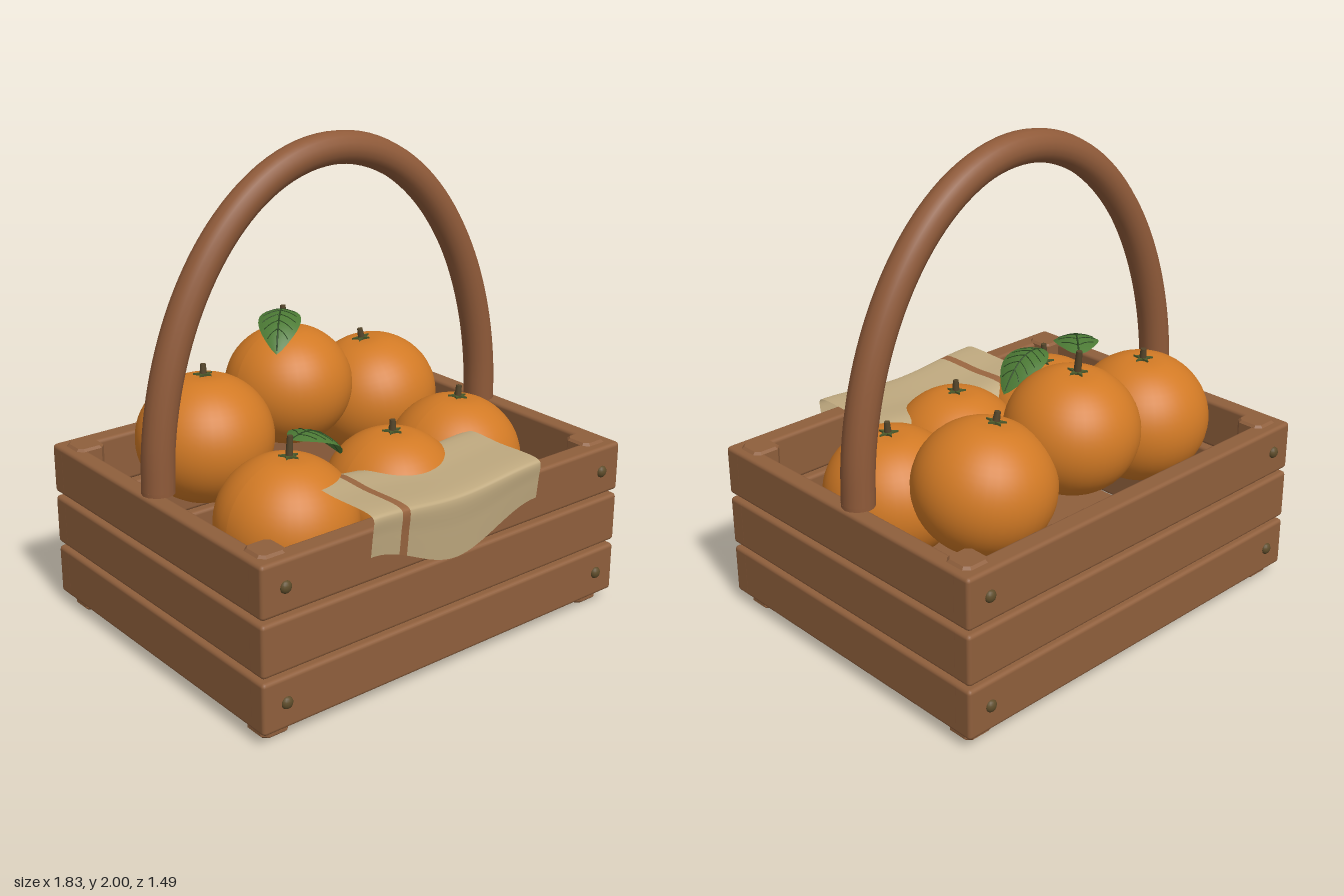
import * as THREE from 'three';
import { RoundedBoxGeometry } from 'three/addons/geometries/RoundedBoxGeometry.js';

const paint = (name, color, side = THREE.FrontSide) => {
  const m = new THREE.MeshStandardMaterial({ color, side });
  m.name = name;
  return m;
};
const V = (x, y, z) => new THREE.Vector3(x, y, z);

// Surface from a rule: fn(u, v) gives a point, u and v run 0..1
function sheet(fn, nu, nv) {
  const g = new THREE.PlaneGeometry(1, 1, nu, nv);
  const p = g.attributes.position;
  for (let i = 0; i < p.count; i++) {
    const q = fn(p.getX(i) + 0.5, p.getY(i) + 0.5);
    p.setXYZ(i, q.x, q.y, q.z);
  }
  g.computeVertexNormals();
  return g;
}

// Sphere with slightly flattened body and dimpled poles
function orangeGeometry(r) {
  const g = new THREE.SphereGeometry(1, 40, 28);
  const p = g.attributes.position;
  for (let i = 0; i < p.count; i++) {
    const x = p.getX(i), y = p.getY(i), z = p.getZ(i);
    const dent = 0.05 * Math.exp(-(x * x + z * z) / 0.05);
    p.setY(i, y * (0.945 - dent));
  }
  g.scale(r, r, r);
  g.computeVertexNormals();
  return g;
}

function starGeometry(outer, inner) {
  const s = new THREE.Shape();
  for (let i = 0; i < 10; i++) {
    const r = i % 2 ? inner : outer, a = i * Math.PI / 5;
    s[i ? 'lineTo' : 'moveTo'](r * Math.cos(a), r * Math.sin(a));
  }
  s.closePath();
  return new THREE.ExtrudeGeometry(s, { depth: 0.008, bevelEnabled: false }).rotateX(-Math.PI / 2);
}

export function createModel() {
  const root = new THREE.Group();
  root.name = 'fruitBasket';
  const wood = paint('wood', 0x8f5f3c);
  const handleWood = paint('handle wood', 0x8f5a39);
  const metal = paint('bolt metal', 0x5e4c2a);
  const peel = paint('orange peel', 0xd27a25);
  const stemMat = paint('stem', 0x54452a);
  const calyxMat = paint('calyx', 0x4c5a2c);
  const leafMat = paint('leaf green', 0x4c7a35, THREE.DoubleSide);
  const veinMat = paint('leaf vein', 0x2c4a22);
  const linen = paint('linen', 0xbfa97f, THREE.DoubleSide);
  const stripe = paint('linen stripe', 0x9a6640, THREE.DoubleSide);

  const add = (parent, name, geo, mat, x = 0, y = 0, z = 0) => {
    const m = new THREE.Mesh(geo, mat);
    m.name = name;
    m.position.set(x, y, z);
    parent.add(m);
    return m;
  };

  // Crate: three rows of slats on every side
  const longSlat = new RoundedBoxGeometry(1.83, 0.212, 0.09, 2, 0.016);
  const shortSlat = new RoundedBoxGeometry(0.077, 0.212, 1.444, 2, 0.016);
  for (let row = 0; row < 3; row++) {
    const y = 0.154 + row * 0.23;
    for (const s of [-1, 1]) {
      add(root, s > 0 ? 'frontSlat' : 'backSlat', longSlat, wood, 0, y, s * 0.68);
      add(root, s > 0 ? 'leftSlat' : 'rightSlat', shortSlat, wood, s * 0.876, y, 0);
    }
  }
  add(root, 'floor', new THREE.BoxGeometry(1.62, 0.06, 1.24), wood, 0, 0.042, 0);

  // Chamfered corner posts and bolts
  const h = 0.063, c = 0.04;
  const outline = [[h, c], [c, h], [-c, h], [-h, c], [-h, -c], [-c, -h], [c, -h], [h, -c]];
  const postGeo = new THREE.ExtrudeGeometry(
    new THREE.Shape(outline.map(([x, y]) => new THREE.Vector2(x, y))),
    { depth: 0.71, bevelThickness: 0.01, bevelSize: 0.01, bevelOffset: -0.01, bevelSegments: 1 }
  ).rotateX(-Math.PI / 2);
  const boltGeo = new THREE.SphereGeometry(0.025, 14, 10).scale(1, 1, 0.72);
  for (const sx of [-1, 1]) for (const sz of [-1, 1]) {
    add(root, 'cornerPost', postGeo, wood, sx * 0.82, 0.01, sz * 0.62);
    for (const y of [0.155, 0.615]) add(root, 'bolt', boltGeo, metal, sx * 0.81, y, sz * 0.724);
  }

  // Arched handle with closed ends
  const arch = [];
  for (let i = 0; i <= 24; i++) {
    const a = Math.PI * i / 24;
    arch.push(V(0.84 * Math.cos(a), 0.73 + 1.204 * Math.sin(a), -0.036));
  }
  add(root, 'handle', new THREE.TubeGeometry(new THREE.CatmullRomCurve3(arch), 72, 0.066, 16), handleWood);
  for (const s of [-1, 1])
    add(root, 'handleEnd', new THREE.CylinderGeometry(0.066, 0.066, 0.016, 16), handleWood, s * 0.84, 0.726, -0.036);

  // Oranges: x, y, z, radius, tilt x, tilt z, stem length
  const calyxGeo = starGeometry(0.042, 0.016);
  const fruit = [
    [-0.445, 0.765, -0.3, 0.285, -0.06, -0.04, 0.05],
    [0.025, 0.875, -0.357, 0.272, -0.1, 0, 0.095],
    [0.44, 0.755, -0.3, 0.284, -0.07, 0.17, 0.05],
    [-0.44, 0.585, 0.24, 0.285, 0, -0.06, 0.09],
    [0.06, 0.583, 0.28, 0.282, 0, 0, 0.055],
    [0.51, 0.585, 0.16, 0.285, 0, -0.07, 0.055],
  ];
  for (const [x, y, z, r, tx, tz, len] of fruit) {
    const g = new THREE.Group();
    g.name = 'orange';
    g.position.set(x, y, z);
    g.rotation.set(tx, 0, tz);
    root.add(g);
    add(g, 'peel', orangeGeometry(r), peel);
    const top = r * 0.9;
    add(g, 'calyx', calyxGeo, calyxMat, 0, top + 0.004, 0);
    add(g, 'stem', new THREE.CylinderGeometry(0.012, 0.016, len, 10), stemMat, 0, top + len / 2, 0);
  }

  // Arched leaves with a midrib and side veins
  const addLeaf = (a, mid, b, width) => {
    const g = new THREE.Group();
    g.name = 'leaf';
    root.add(g);
    const spine = new THREE.QuadraticBezierCurve3(a, mid, b);
    const side = V(b.x - a.x, 0, b.z - a.z).normalize().cross(V(0, 1, 0));
    const at = (t, s, lift = 0) => {
      const w = width * Math.pow(Math.sin(Math.PI * Math.pow(t, 0.85)), 0.75);
      const p = spine.getPoint(t).addScaledVector(side, w * s);
      p.y += lift - 0.025 * s * s * Math.sin(Math.PI * t);
      return p;
    };
    add(g, 'leafBlade', sheet((u, v) => at(Math.min(v, 0.9999), u * 2 - 1), 10, 20), leafMat);
    const vein = (pts, r) =>
      add(g, 'leafVein', new THREE.TubeGeometry(new THREE.CatmullRomCurve3(pts), 10, r, 5), veinMat);
    vein([0, 0.25, 0.5, 0.75, 0.97].map(t => at(t, 0, 0.001)), 0.0035);
    for (let i = 1; i <= 5; i++) for (const s of [-1, 1])
      vein([0, 0.4, 0.8].map(k => at(i * 0.14 + k * 0.14, s * k, 0.001)), 0.002);
  };
  addLeaf(V(0.02, 1.195, -0.385), V(-0.1, 1.28, -0.25), V(-0.185, 1.1, -0.155), 0.088);
  addLeaf(V(-0.415, 0.91, 0.237), V(-0.27, 0.97, 0.23), V(-0.155, 0.78, 0.215), 0.1);

  // Cloth draped over the front edge, pointed hem, one coloured stripe
  const clothPoint = (x, v) => {
    const e = THREE.MathUtils.smoothstep(Math.abs(x), 0, 0.42);
    const hem = 0.48 + 0.128 * e, top = 0.742 + 0.031 * e;
    const path = new THREE.CatmullRomCurve3([
      V(x, hem, 0.728), V(x, (hem + top) / 2, 0.737), V(x, top - 0.012, 0.743), V(x, top, 0.728),
      V(x, top, 0.52), V(x, top - 0.005, 0.33), V(x, top - 0.06, 0.285), V(x, 0.49, 0.275),
    ]);
    return path.getPoint(v);
  };
  const clothStrip = (name, x0, x1, n, mat) =>
    add(root, name, sheet((u, v) => clothPoint(x0 + (x1 - x0) * u, v), n, 42), mat);
  clothStrip('clothEdge', -0.427, -0.29, 6, linen);
  clothStrip('clothStripe', -0.29, -0.253, 2, stripe);
  clothStrip('cloth', -0.253, 0.424, 24, linen);

  return root;
}
